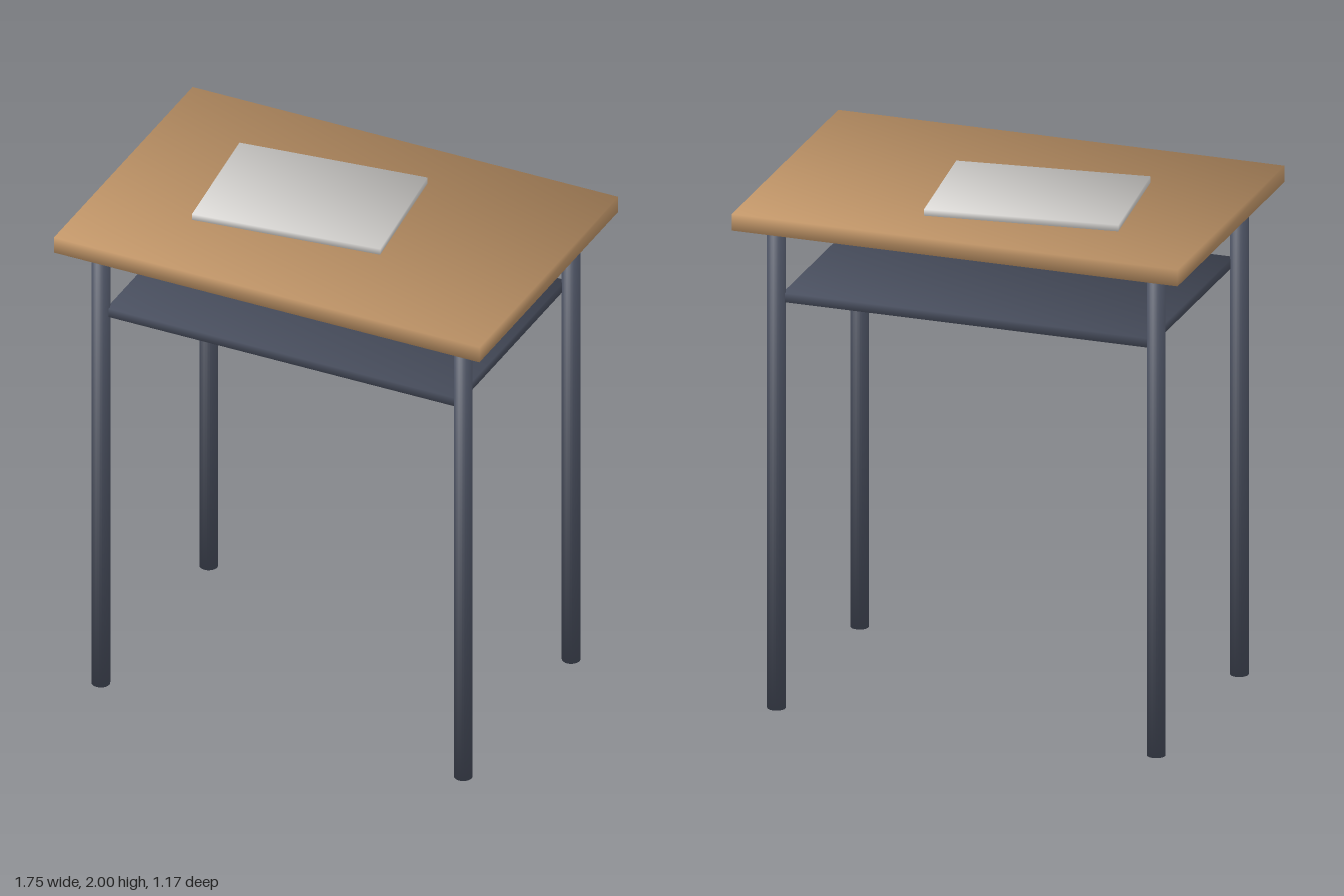
import * as THREE from 'three';

const paint = (name, color) => {
  const m = new THREE.MeshStandardMaterial({ color });
  m.name = name;
  return m;
};

// Smooth normals shared across all edges: they point outward from the centre by relative extent.
function soften(geometry, hx, hy, hz) {
  const p = geometry.attributes.position;
  const n = geometry.attributes.normal;
  const v = new THREE.Vector3();
  for (let i = 0; i < p.count; i++) {
    v.set(p.getX(i) / hx, p.getY(i) / hy, p.getZ(i) / hz).normalize();
    n.setXYZ(i, v.x, v.y, v.z);
  }
  return geometry;
}

function slab(name, w, h, d, material, x, y, z) {
  const geometry = soften(new THREE.BoxGeometry(w, h, d), w / 2, h / 2, d / 2);
  const mesh = new THREE.Mesh(geometry, material);
  mesh.name = name;
  mesh.position.set(x, y, z);
  return mesh;
}

export function createModel() {
  const group = new THREE.Group();
  group.name = 'desk';
  const wood = paint('wood', 0xc4986a);
  const metal = paint('dark metal', 0x4a5060);
  const silver = paint('light grey', 0xdddbd8);

  // Wooden top and the shelf beneath it
  group.add(slab('tabletop', 1.75, 0.065, 1.17, wood, 0, 1.9425, 0));
  group.add(slab('shelf', 1.44, 0.036, 0.92, metal, 0, 1.622, 0));

  // Four round legs
  const r = 0.035, h = 1.91;
  const legGeometry = soften(new THREE.CylinderGeometry(r, r, h, 24), r, h / 2, r);
  for (const [side, x] of [['left', 0.745], ['right', -0.745]]) {
    for (const [end, z] of [['Front', 0.455], ['Back', -0.455]]) {
      const leg = new THREE.Mesh(legGeometry, metal);
      leg.name = `${side}${end}Leg`;
      leg.position.set(x, h / 2, z);
      group.add(leg);
    }
  }

  // Thin pad lying at a slight angle on the top
  const pad = slab('pad', 0.737, 0.025, 0.529, silver, -0.135, 1.9875, -0.056);
  pad.rotation.y = 0.116;
  group.add(pad);

  return group;
}
